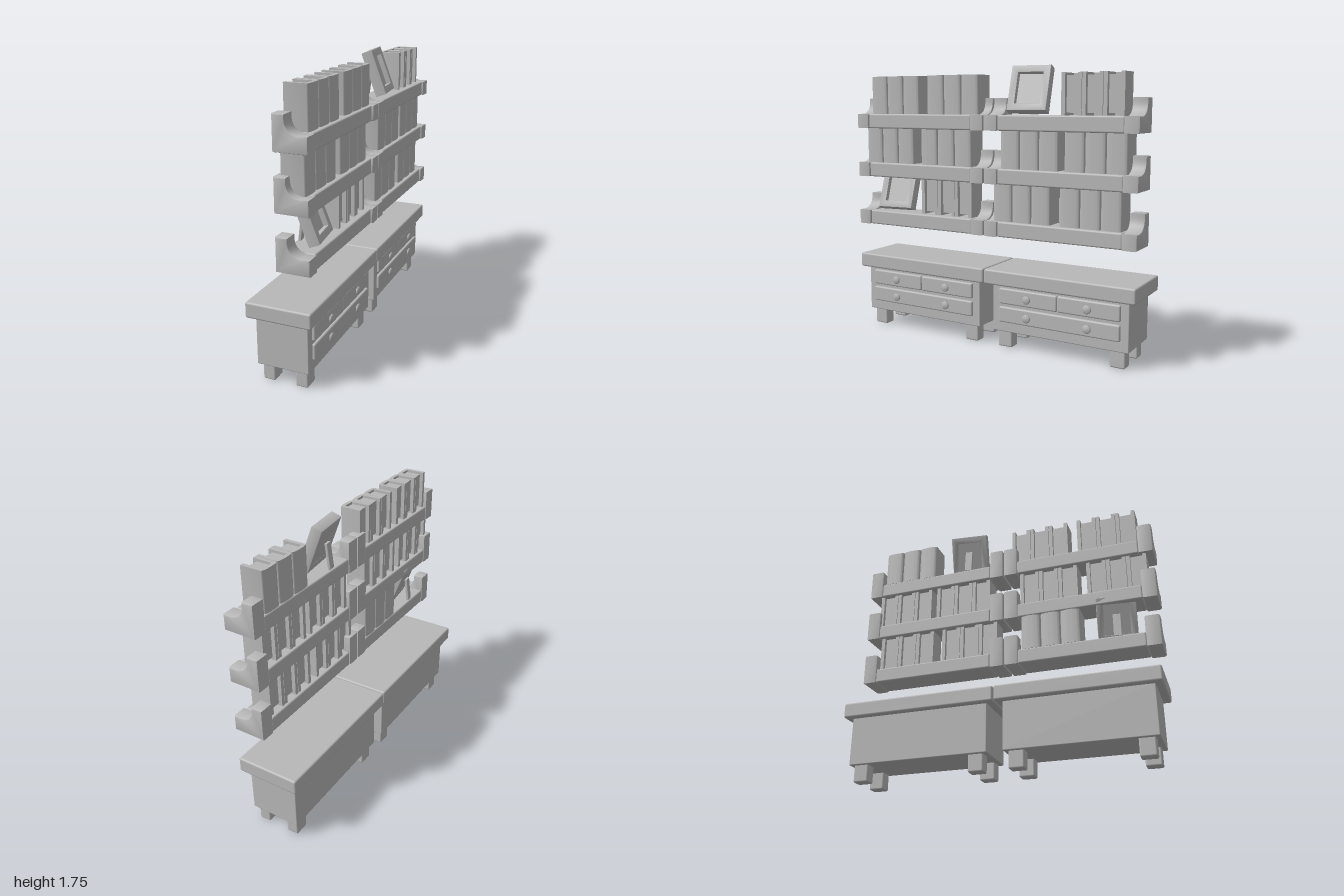
import * as THREE from 'three';
import { RoundedBoxGeometry } from 'three/addons/geometries/RoundedBoxGeometry.js';
import { toCreasedNormals } from 'three/addons/utils/BufferGeometryUtils.js';

const gray = new THREE.MeshStandardMaterial({ color: 0xb8b8b8 });
gray.name = 'plain gray';

function add(parent, name, geometry, x = 0, y = 0, z = 0) {
  const mesh = new THREE.Mesh(geometry, gray);
  mesh.name = name;
  mesh.position.set(x, y, z);
  parent.add(mesh);
  return mesh;
}

// Rounded box given by its [min, max] along each axis
function slab(parent, name, [x0, x1], [y0, y1], [z0, z1], r = 0.01) {
  const g = new RoundedBoxGeometry(x1 - x0, y1 - y0, z1 - z0, 2, r);
  return add(parent, name, g, (x0 + x1) / 2, (y0 + y1) / 2, (z0 + z1) / 2);
}

// Low cabinet, drawers facing +x, spanning z = -0.5 to 0.5
function makeCabinet() {
  const g = new THREE.Group();
  g.name = 'cabinet';
  slab(g, 'cabinetTop', [-0.2, 0.2], [0.405, 0.5], [-0.497, 0.497], 0.012);
  slab(g, 'cabinetBody', [-0.16, 0.16], [0.105, 0.415], [-0.45, 0.45], 0.006);
  for (const x of [-0.1025, 0.1025])
    for (const z of [-0.375, 0.375])
      slab(g, 'leg', [x - 0.038, x + 0.038], [0, 0.12], [z - 0.048, z + 0.048]);

  slab(g, 'upperDrawerLeft', [0.14, 0.178], [0.288, 0.387], [-0.4, -0.001]);
  slab(g, 'upperDrawerRight', [0.14, 0.178], [0.288, 0.387], [0.001, 0.4]);
  slab(g, 'lowerDrawer', [0.14, 0.178], [0.17, 0.269], [-0.4, 0.4]);

  const knob = new THREE.LatheGeometry([
    [0.014, 0], [0.014, 0.008], [0.026, 0.011], [0.026, 0.017], [0.018, 0.022], [0, 0.024],
  ].map(([x, y]) => new THREE.Vector2(x, y)), 16);
  knob.rotateZ(-Math.PI / 2);
  for (const y of [0.337, 0.219])
    for (const z of [-0.2, 0.2]) add(g, 'knob', knob, 0.174, y, z);
  return g;
}

// Shelf end: block with a back post and a concave sweep between them
function bracketGeometry() {
  const b = 0.01;
  const s = new THREE.Shape();
  s.moveTo(b, b);
  s.lineTo(0.2 - b, b);
  s.lineTo(0.2 - b, 0.095 - b);
  s.lineTo(0.145, 0.095 - b);
  s.quadraticCurveTo(0.072 - b, 0.098, 0.072 - b, 0.18);
  s.lineTo(0.072 - b, 0.198 - b);
  s.lineTo(b, 0.198 - b);
  s.closePath();
  const g = new THREE.ExtrudeGeometry(s, {
    depth: 0.094 - 2 * b, bevelThickness: b, bevelSize: b, bevelSegments: 2, curveSegments: 8,
  });
  g.translate(0, 0, -0.047 + b);
  return toCreasedNormals(g, 0.7);
}
const bracket = bracketGeometry();

// Book: U-shaped cover with a rounded spine toward +x, pages set back inside
const BOOK_D = 0.143, BOOK_W = 0.127, BOOK_H = 0.245;
function coverGeometry() {
  const d = BOOK_D / 2, w = BOOK_W / 2, t = 0.024, r = 0.02;
  const s = new THREE.Shape();
  s.moveTo(-d, -w);
  s.lineTo(d - r, -w);
  s.quadraticCurveTo(d - 0.004, -w, d - 0.003, -w + r);
  s.quadraticCurveTo(d + 0.003, 0, d - 0.003, w - r);
  s.quadraticCurveTo(d - 0.004, w, d - r, w);
  s.lineTo(-d, w);
  s.lineTo(-d, w - t);
  s.lineTo(d - t, w - t);
  s.lineTo(d - t, -w + t);
  s.lineTo(-d, -w + t);
  s.closePath();
  const g = new THREE.ExtrudeGeometry(s, { depth: BOOK_H, bevelEnabled: false, curveSegments: 5 });
  g.rotateX(-Math.PI / 2);
  return toCreasedNormals(g, 0.7);
}
const cover = coverGeometry();
const pages = new THREE.BoxGeometry(BOOK_D - 0.034, BOOK_H - 0.03, BOOK_W - 0.046);

// Three books starting at z, running toward -z
function addBooks(parent, y, z, reversed = false) {
  for (let i = 0; i < 3; i++) {
    const book = new THREE.Group();
    book.name = 'book';
    add(book, 'cover', cover);
    add(book, 'pages', pages, 0.007, BOOK_H / 2, 0);
    book.position.set(reversed ? 0.078 : 0.093, y, z - 0.065 - i * 0.13);
    if (reversed) book.rotation.y = Math.PI;
    parent.add(book);
  }
}

// Leaning picture frame with a support leg behind
function addFrame(parent, y, z) {
  const frame = new THREE.Group();
  frame.name = 'pictureFrame';
  const rect = (P, w, h) => new P([[-w, -h], [w, -h], [w, h], [-w, h]].map(([a, c]) => new THREE.Vector2(a, c)));
  const b = 0.007;
  const s = rect(THREE.Shape, 0.125 - b, 0.143 - b);
  s.holes.push(rect(THREE.Path, 0.079 + b, 0.097 + b));
  const rim = new THREE.ExtrudeGeometry(s, {
    depth: 0.07 - 2 * b, bevelThickness: b, bevelSize: b, bevelSegments: 2,
  });
  rim.translate(0, 0, -0.035 + b);
  rim.rotateY(Math.PI / 2);
  const tilt = new THREE.Group();
  tilt.name = 'frameBody';
  tilt.rotation.z = 0.35;
  add(tilt, 'frameRim', toCreasedNormals(rim, 0.7));
  add(tilt, 'picturePanel', new THREE.BoxGeometry(0.035, 0.21, 0.175), -0.0145, 0, 0);
  frame.add(tilt);
  const leg = add(frame, 'frameLeg', new RoundedBoxGeometry(0.018, 0.16, 0.05, 1, 0.004), -0.06, -0.07, 0);
  leg.rotation.z = -0.12;
  frame.position.set(0.09, y + 0.151, z);
  frame.rotation.y = 0.13;
  parent.add(frame);
}

export function createModel() {
  const model = new THREE.Group();
  model.name = 'bookshelvesAndCabinets';
  const levels = [0.71, 1.035, 1.36];

  for (const z of [0.5, -0.5]) {
    const cabinet = makeCabinet();
    cabinet.position.z = z;
    model.add(cabinet);
    for (const y of levels) {
      const shelf = new THREE.Group();
      shelf.name = 'shelf';
      slab(shelf, 'shelfPlank', [0.003, 0.19], [0, 0.095], [-0.405, 0.405]);
      for (const e of [-0.45, 0.45]) add(shelf, 'shelfBracket', bracket, 0, 0, e);
      shelf.position.set(0, y, z);
      model.add(shelf);
    }
  }

  // Things standing on the shelves, bottom to top
  const [low, mid, top] = levels.map((y) => y + 0.095);
  addFrame(model, low, 0.725);
  addBooks(model, low, 0.505, true);
  addBooks(model, low, -0.05);
  addBooks(model, low, -0.5);
  for (const z of [0.948, 0.5, -0.1, -0.527]) addBooks(model, mid, z);
  addBooks(model, top, 0.9);
  addBooks(model, top, 0.447);
  addFrame(model, top, -0.27);
  addBooks(model, top, -0.5, true);
  return model;
}
